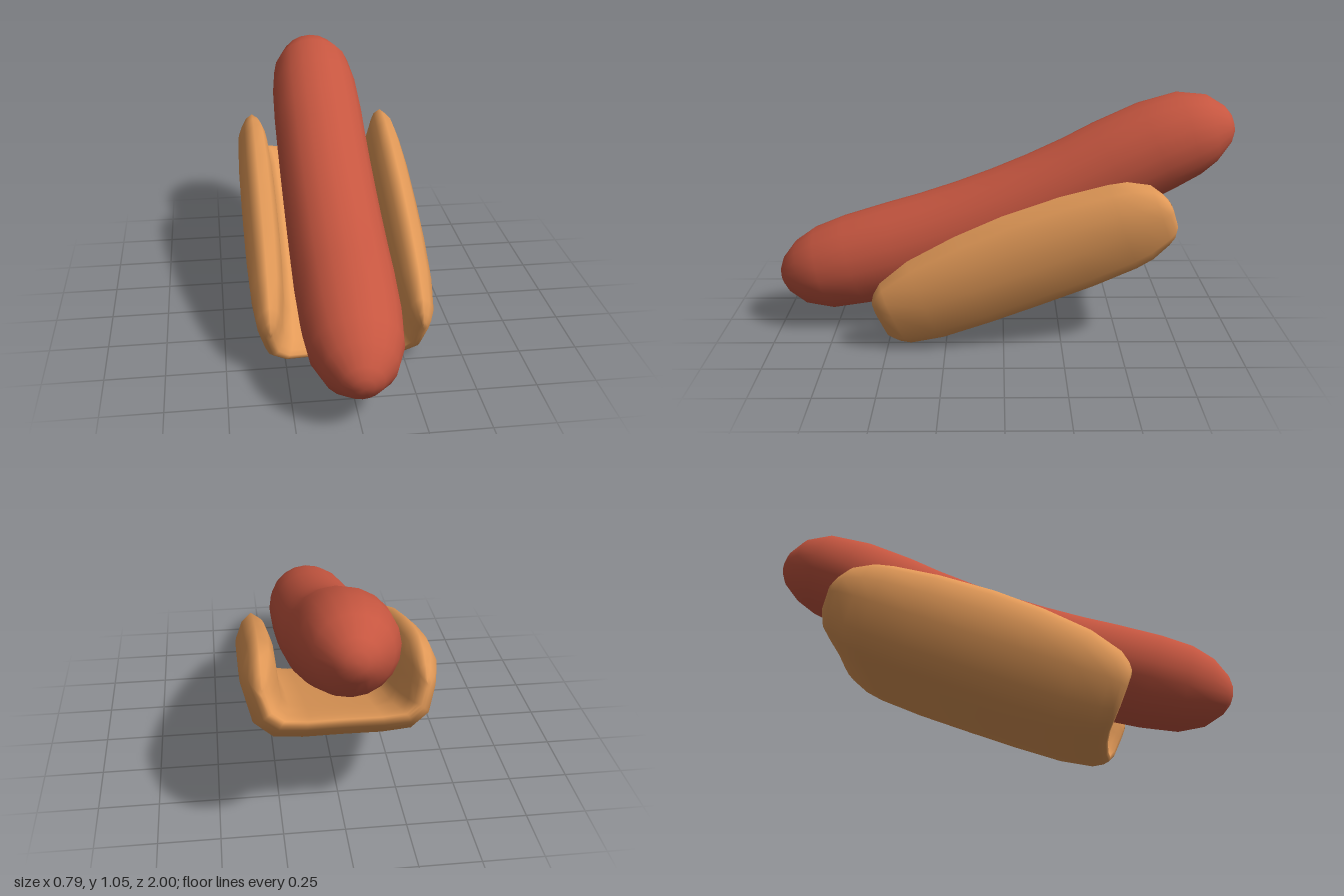
import * as THREE from 'three';
import { mergeVertices } from 'three/addons/utils/BufferGeometryUtils.js';

// Skin a list of closed rings (arrays of Vector3, running front to back).
function loft(rings) {
  const n = rings[0].length;
  const index = [];
  for (let i = 0; i < rings.length - 1; i++) {
    for (let j = 0; j < n; j++) {
      const a = i * n + j, b = i * n + (j + 1) % n;
      index.push(a, a + n, b, b, a + n, b + n);
    }
  }
  const geo = new THREE.BufferGeometry().setFromPoints(rings.flat());
  geo.setIndex(index);
  const merged = mergeVertices(geo, 1e-4);
  merged.computeVertexNormals();
  return merged;
}

// Sausage: a round section swept along a bent, rising centre line.
function sausageGeometry() {
  const curve = new THREE.CatmullRomCurve3([
    [0.22, 1], [0.26, 0.8], [0.315, 0.6], [0.4, 0.3], [0.505, 0],
    [0.635, -0.3], [0.79, -0.6], [0.875, -0.8], [0.92, -1],
  ].map(([y, z]) => new THREE.Vector3(0, y, z)));
  const length = curve.getLength();
  // distance from the end, radius
  const cap = [[0, 0], [0.008, 0.042], [0.03, 0.083], [0.1, 0.147], [0.2, 0.187], [0.35, 0.204], [0.55, 0.21]];
  const stations = cap.map(([d, r]) => [d / length, r]);
  for (let t = 0.33; t < 0.7; t += 0.085) stations.push([t, 0.21]);
  for (const [d, r] of [...cap].reverse()) stations.push([1 - d / length, r]);
  const sides = 20;
  return loft(stations.map(([t, r]) => {
    const p = curve.getPointAt(t), tan = curve.getTangentAt(t);
    const up = new THREE.Vector3(0, -tan.z, tan.y);
    return Array.from({ length: sides }, (_, j) => {
      const a = (j / sides) * Math.PI * 2;
      return p.clone().addScaledVector(up, r * Math.sin(a)).setX(r * Math.cos(a));
    });
  }));
}

// Bun: a thick U section along a tilted axis, thinning to rounded ends.
function bunGeometry() {
  // half section from the floor's middle to the wall's tip: inner x, v, outer x, v
  const half = [
    [0, -0.08, 0, -0.21], [0.13, -0.08, 0.16, -0.21], [0.2, -0.07, 0.28, -0.197],
    [0.228, -0.03, 0.355, -0.135], [0.235, 0.06, 0.39, 0], [0.245, 0.15, 0.395, 0.11],
    [0.268, 0.212, 0.362, 0.2], [0.315, 0.245, 0.315, 0.245],
  ];
  // along the axis: position, thickness, height above and below the axis
  const stations = [
    [-0.655, 0, 0.28, 0.85], [-0.65, 0.2, 0.36, 0.86], [-0.63, 0.42, 0.48, 0.9], [-0.585, 0.65, 0.63, 0.95],
    [-0.44, 0.86, 0.83, 1], [-0.22, 0.97, 0.95, 1], [0, 1, 1, 1], [0.25, 1, 0.97, 1],
    [0.45, 0.92, 0.88, 0.98], [0.53, 0.84, 0.81, 0.94], [0.615, 0.6, 0.62, 0.84],
    [0.65, 0.38, 0.4, 0.8], [0.665, 0.18, 0.25, 0.75], [0.67, 0, 0.15, 0.72],
  ];
  const tilt = THREE.MathUtils.degToRad(21);
  const c = Math.cos(tilt), s = Math.sin(tilt);
  return loft(stations.map(([u, thick, above, below]) => {
    const place = (x, v, mx, mv) => {
      const px = mx + (x - mx) * thick;
      let pv = mv + (v - mv) * thick;
      pv *= pv > 0 ? above : below;
      // the floor stops a little short of the walls
      const pu = u * (1 - 0.04 * Math.max(0, 1 - (px / 0.31) ** 2));
      return new THREE.Vector3(px, 0.37 + pu * s + pv * c, -0.08 - pu * c + pv * s);
    };
    const outer = half.map(([ix, iv, ox, ov]) => place(ox, ov, (ix + ox) / 2, (iv + ov) / 2));
    const inner = half.map(([ix, iv, ox, ov]) => place(ix, iv, (ix + ox) / 2, (iv + ov) / 2));
    const flip = (p) => new THREE.Vector3(-p.x, p.y, p.z);
    return [
      ...outer, ...inner.slice(0, -1).reverse(),
      ...inner.slice(1).map(flip), ...outer.slice(1, -1).reverse().map(flip),
    ];
  }));
}

export function createModel() {
  const group = new THREE.Group();
  group.name = 'hotDog';

  const sausageRed = new THREE.MeshStandardMaterial({ color: 0xc65640 });
  sausageRed.name = 'sausageRed';
  const bunTan = new THREE.MeshStandardMaterial({ color: 0xe39a58 });
  bunTan.name = 'bunTan';

  const sausage = new THREE.Mesh(sausageGeometry(), sausageRed);
  sausage.name = 'sausage';
  const bun = new THREE.Mesh(bunGeometry(), bunTan);
  bun.name = 'bun';
  group.add(sausage, bun);
  return group;
}
